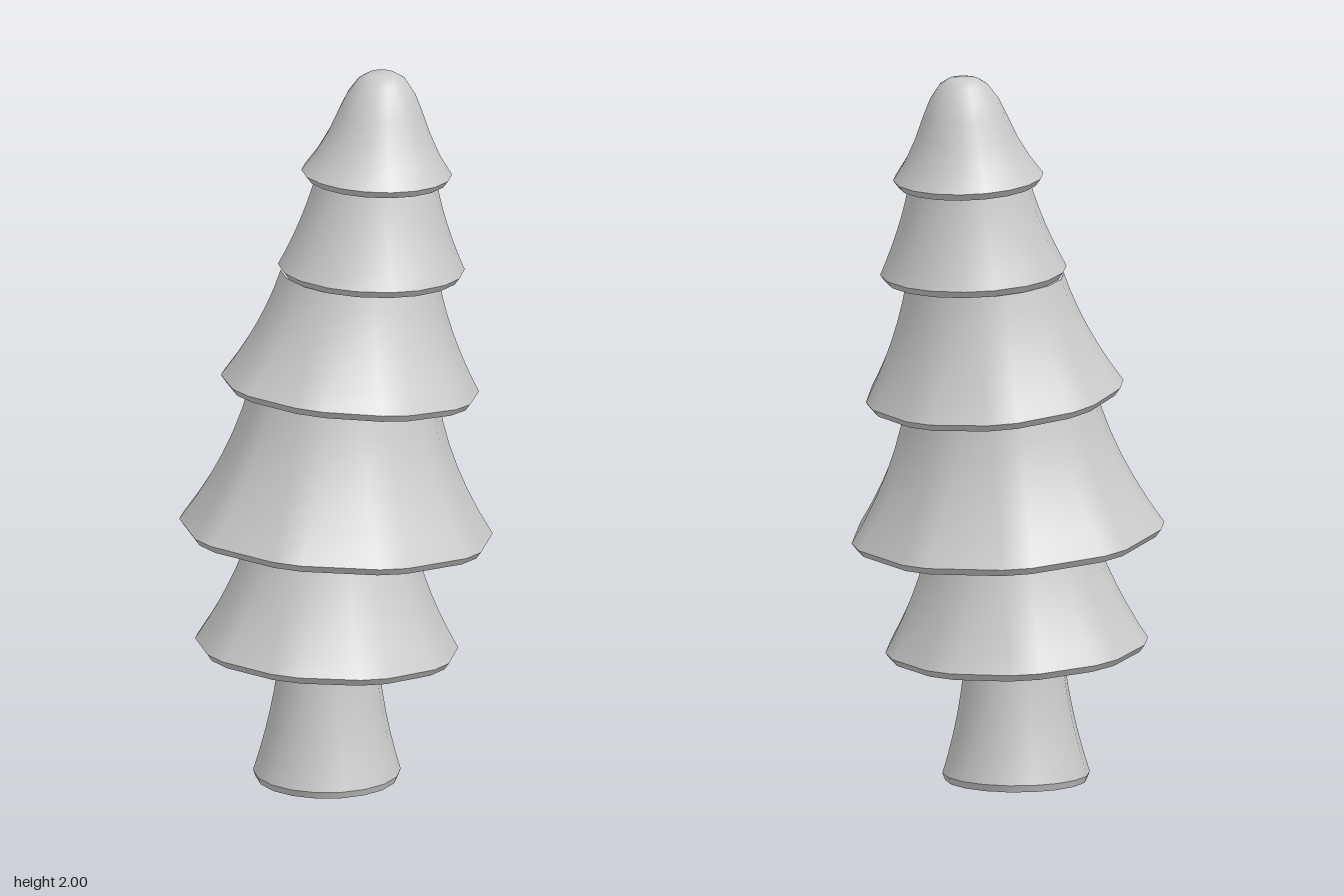
import * as THREE from 'three';

const CORNERS = 9;

// A tilted nine-sided ring with cut corners; the front is raised by slope
function ringPoints({ x, y, z, r, slope }) {
  const cut = r > 0 ? Math.min(Math.PI / 18, 0.041 / r) : 0.1;
  const pts = [];
  for (let i = 0; i < CORNERS; i++) {
    for (const side of [-1, 1]) {
      const a = (i / CORNERS) * Math.PI * 2 + side * cut;
      const dz = -r * Math.cos(a);
      pts.push(x + r * Math.sin(a), y + slope * dz, z + dz);
    }
  }
  return pts;
}

// Smooth skin through a stack of rings
function loft(name, rings, material) {
  const n = CORNERS * 2, index = [];
  for (let k = 0; k < rings.length - 1; k++) {
    for (let j = 0; j < n; j++) {
      const a = k * n + j, a2 = k * n + (j + 1) % n;
      index.push(a2, a, a + n, a2, a + n, a2 + n);
    }
  }
  const geo = new THREE.BufferGeometry();
  geo.setAttribute('position', new THREE.Float32BufferAttribute(rings.flatMap(ringPoints), 3));
  geo.setIndex(index);
  geo.computeVertexNormals();
  const mesh = new THREE.Mesh(geo, material);
  mesh.name = name;
  return mesh;
}

const ring = (x, y, z, r, slope) => ({ x, y, z, r, slope });

// Rings from bottom to top, the radius curving through mid at half height
function flare(bottom, top, mid, steps = 6) {
  const rings = [];
  for (let i = 0; i <= steps; i++) {
    const t = i / steps, mix = key => bottom[key] + (top[key] - bottom[key]) * t;
    const r = bottom.r * (1 - t) * (1 - 2 * t) + mid * 4 * t * (1 - t) + top.r * t * (2 * t - 1);
    rings.push(ring(mix('x'), mix('y'), mix('z'), r, mix('slope')));
  }
  return rings;
}

export function createModel() {
  const tree = new THREE.Group();
  tree.name = 'tree';
  const material = new THREE.MeshStandardMaterial({ color: 0xcccccc, side: THREE.DoubleSide });

  const LIP = 0.02;
  // Outer rims of the five branch tiers
  const rims = [
    ring(0, 0.382, 0.045, 0.364, 0.073),
    ring(0, 0.708, 0.003, 0.434, 0.09),
    ring(0, 1.112, -0.058, 0.357, 0.12),
    ring(0.035, 1.45, -0.108, 0.258, 0.062),
    ring(0.03, 1.717, -0.138, 0.208, 0.065),
  ];
  // Necks that meet the underside of each rim: x, z, radius
  const necks = [
    [0, 0.035, 0.136], [0, 0.022, 0.228], [0, -0.03, 0.262],
    [0.005, -0.093, 0.218], [0.032, -0.132, 0.168],
  ].map(([x, z, r], i) => {
    const rim = rims[i];
    return ring(x, rim.y - LIP + rim.slope * (z - rim.z), z, r, rim.slope);
  });
  const midRadii = [0.283, 0.325, 0.272, 0.205];

  // Trunk, open below with a small bevel
  const foot = ring(0, 0.02, 0.045, 0.204, 0);
  tree.add(loft('trunkBevel', [ring(0, 0, 0.045, 0.196, 0), foot], material));
  tree.add(loft('trunk', flare(foot, necks[0], 0.16), material));

  // Tiers: flat underside, bevelled lip and flared branches
  rims.forEach((rim, i) => {
    const tier = new THREE.Group();
    tier.name = 'branchTier' + (i + 1);
    const lip = { ...rim, y: rim.y - LIP, r: rim.r - 0.015 };
    tier.add(loft('underside', [necks[i], lip], material));
    tier.add(loft('lip', [lip, rim], material));
    if (i < 4) {
      tier.add(loft('branches', flare(rim, necks[i + 1], midRadii[i]), material));
    } else {
      // Rounded crown
      tier.add(loft('crown', [
        rim,
        ring(0.03, 1.77, -0.142, 0.172, 0.05),
        ring(0.03, 1.83, -0.148, 0.141, 0.03),
        ring(0.03, 1.89, -0.153, 0.117, 0.015),
        ring(0.03, 1.94, -0.157, 0.095, 0.01),
        ring(0.03, 1.98, -0.16, 0.067, 0),
        ring(0.03, 1.997, -0.16, 0.04, 0),
        ring(0.03, 2, -0.16, 0, 0),
      ], material));
    }
    tree.add(tier);
  });
  return tree;
}
